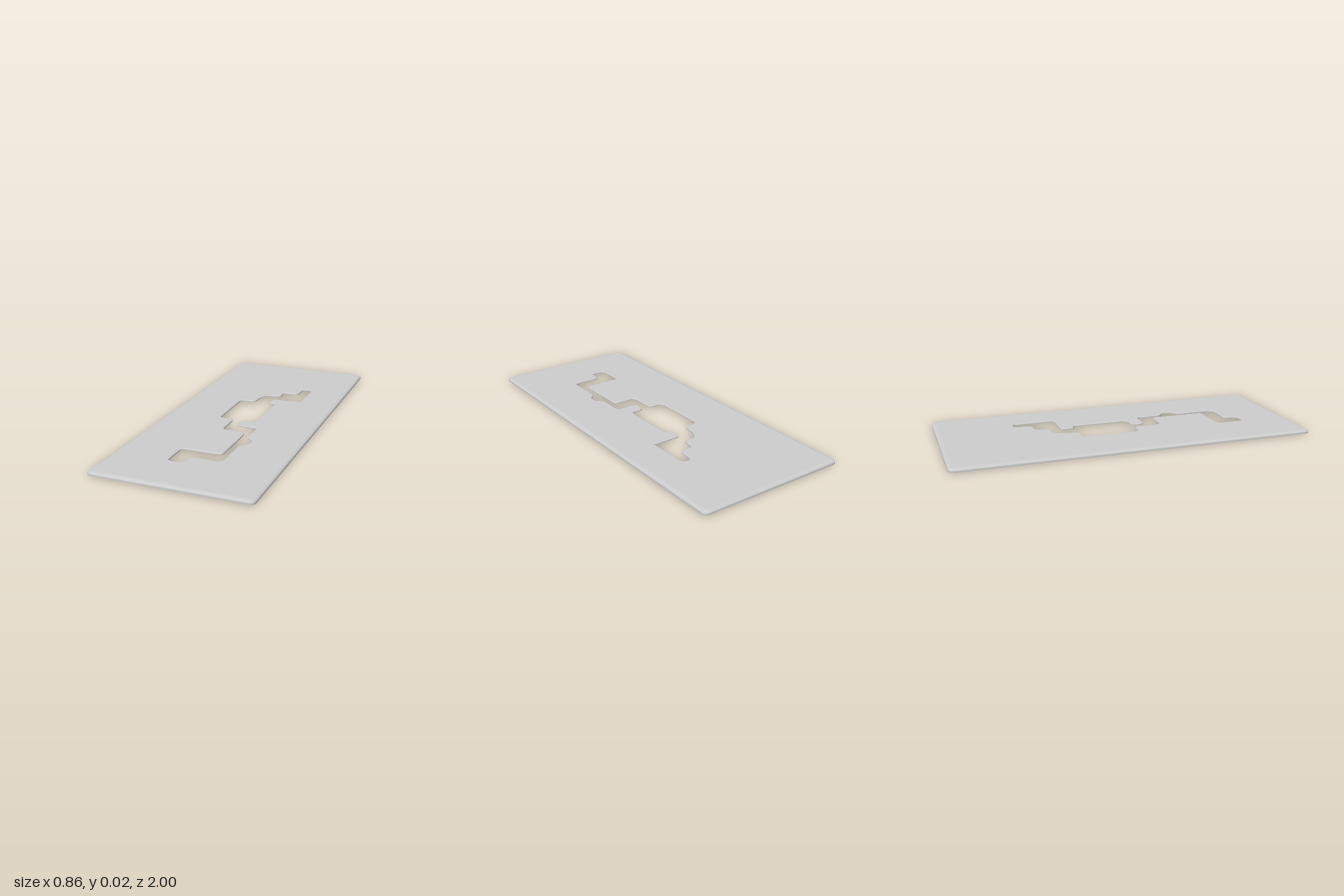
import * as THREE from 'three';

const material = new THREE.MeshStandardMaterial({ color: 0xcccccc, side: THREE.DoubleSide });
const TOP = 0.02;

// Closed outline with filleted corners; points are [x, z, optional radius]
function roundedLoop(corners, radius, clockwise) {
  const pts = corners.map(([x, z]) => new THREE.Vector2(x, -z));
  const n = pts.length, out = [];
  pts.forEach((p, i) => {
    const a = pts[(i + n - 1) % n], b = pts[(i + 1) % n];
    const r = Math.min(corners[i][2] ?? radius, 0.47 * p.distanceTo(a), 0.47 * p.distanceTo(b));
    const start = a.clone().sub(p).setLength(r).add(p);
    const end = b.clone().sub(p).setLength(r).add(p);
    out.push(...new THREE.QuadraticBezierCurve(start, p, end).getPoints(6));
  });
  if (THREE.ShapeUtils.isClockWise(out) !== clockwise) out.reverse();
  return out;
}

// Shift an outline to its left, which is the side with material
function inset(loop, d) {
  const n = loop.length;
  return loop.map((p, i) => {
    const t = loop[(i + 1) % n].clone().sub(loop[(i + n - 1) % n]).normalize();
    return new THREE.Vector2(p.x - t.y * d, p.y + t.x * d);
  });
}

// Rolled edge that follows an outline; profile is [inset, height] from the top down
function rolledEdge(name, loop, profile) {
  const n = loop.length, position = [], index = [];
  for (const [d, y] of profile) {
    for (const p of inset(loop, d)) position.push(p.x, y, -p.y);
  }
  for (let r = 0; r < profile.length - 1; r++) {
    for (let i = 0; i < n; i++) {
      const j = (i + 1) % n, a = r * n + i, b = r * n + j, c = a + n, e = b + n;
      index.push(c, e, b, c, b, a);
    }
  }
  const geometry = new THREE.BufferGeometry();
  geometry.setAttribute('position', new THREE.Float32BufferAttribute(position, 3));
  geometry.setIndex(index);
  geometry.computeVertexNormals();
  const mesh = new THREE.Mesh(geometry, material);
  mesh.name = name;
  return mesh;
}

// Quarter-round from the flat top, then a straight drop to the bottom
function edgeProfile(width, drop, bottom) {
  const rows = [];
  for (let i = 0; i <= 6; i++) {
    const a = (i / 6) * Math.PI / 2;
    rows.push([width * (1 - Math.sin(a)), TOP - drop * (1 - Math.cos(a))]);
  }
  rows.push([0, bottom]);
  return rows;
}

export function createModel() {
  const group = new THREE.Group();
  group.name = 'shifterPlate';

  const outer = roundedLoop([[-0.43, -1], [0.43, -1], [0.43, 1], [-0.43, 1]], 0.035, false);

  // Stepped gate slot
  const slot = roundedLoop([
    [0.16, -0.565], [0.215, -0.565], [0.215, -0.32, 0.012], [0.045, -0.32], [0.045, -0.24],
    [0.085, -0.24], [0.085, 0.087], [0, 0.087], [0, 0.165], [0.127, 0.165],
    [0.127, 0.315], [0.168, 0.345], [0.168, 0.4], [0.127, 0.43],
    [0.127, 0.655], [-0.045, 0.655], [-0.045, 0.735], [-0.132, 0.735], [-0.132, 0.57],
    [0.092, 0.57], [0.092, 0.25], [-0.045, 0.25], [-0.045, 0.087], [-0.132, 0.087],
    [-0.132, -0.24], [-0.045, -0.24], [-0.04, -0.32], [-0.01, -0.38],
    [0.068, -0.38], [0.068, -0.46], [0.155, -0.46],
  ], 0.03, true);

  const rim = edgeProfile(0.025, 0.012, 0);
  const lip = edgeProfile(0.007, 0.006, 0.01);

  // Flat face between the two rolled edges
  const shape = new THREE.Shape(inset(outer, rim[0][0]));
  shape.holes.push(new THREE.Path(inset(slot, lip[0][0])));
  const face = new THREE.Mesh(new THREE.ShapeGeometry(shape).rotateX(-Math.PI / 2), material);
  face.position.y = TOP;
  face.name = 'plateFace';

  group.add(face, rolledEdge('outerRim', outer, rim), rolledEdge('slotLip', slot, lip));
  return group;
}
